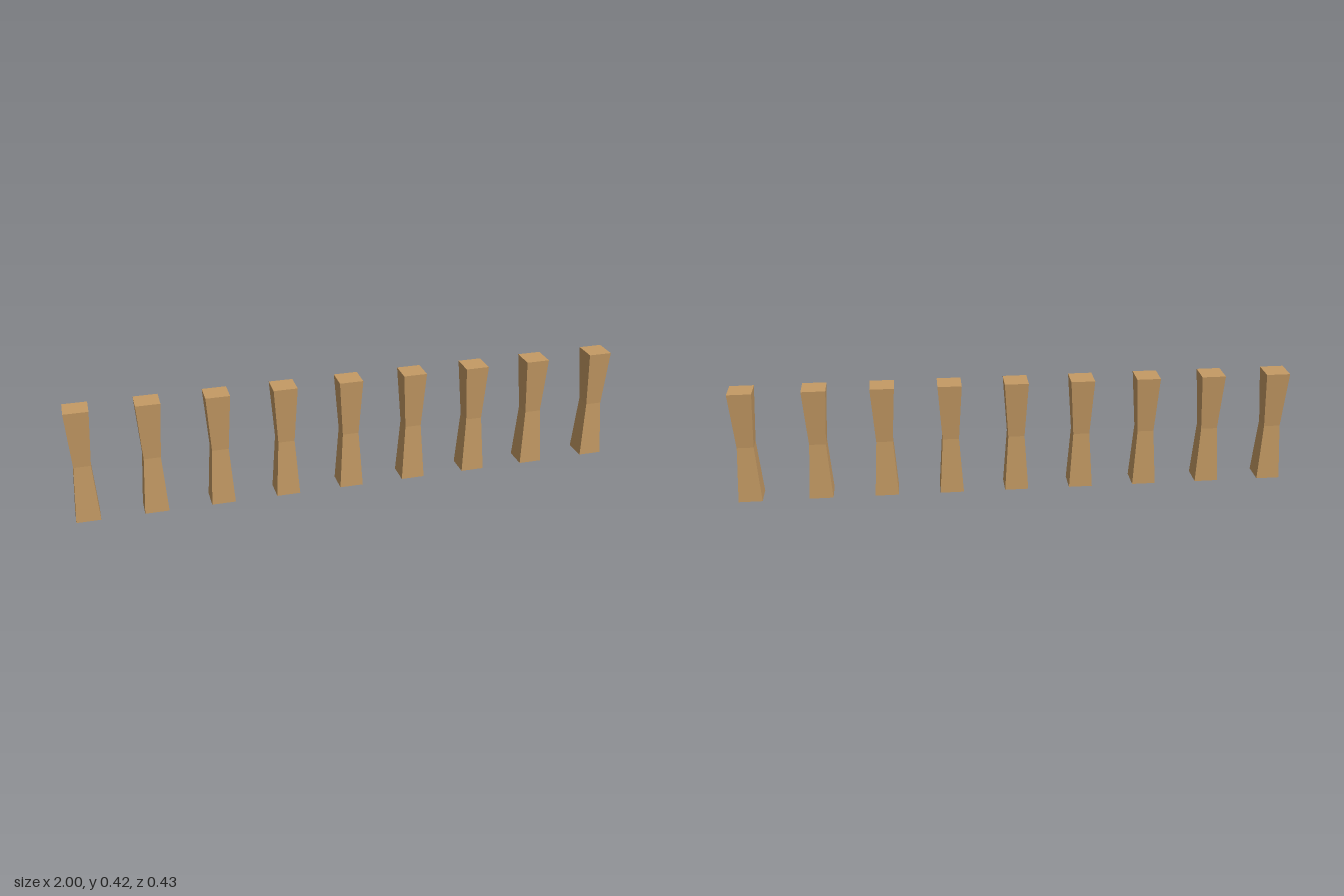
import * as THREE from 'three';

const POSTS = 9;
const HEIGHT = 0.42;
const SIDE = 0.086;
const WAIST = 0.69;
const TURN = 0.17;

// Square post that narrows to a waist at half height
function waistedPostGeometry() {
  const geometry = new THREE.BoxGeometry(SIDE, HEIGHT, SIDE, 1, 2, 1);
  const p = geometry.attributes.position;
  for (let i = 0; i < p.count; i++) {
    if (Math.abs(p.getY(i)) < 0.01) {
      p.setX(i, p.getX(i) * WAIST);
      p.setZ(i, p.getZ(i) * WAIST);
    }
  }
  geometry.translate(0, HEIGHT / 2, 0);
  geometry.computeVertexNormals();
  return geometry;
}

export function createModel() {
  const group = new THREE.Group();
  group.name = 'postRow';

  const wood = new THREE.MeshStandardMaterial({ color: 0xc49a64, flatShading: true });
  wood.name = 'wood';

  // Slanted row of posts, each turned to follow the row
  const geometry = waistedPostGeometry();
  for (let i = 0; i < POSTS; i++) {
    const post = new THREE.Mesh(geometry, wood);
    post.name = `post${i + 1}`;
    // The end post stands slightly further off
    const x = i === POSTS - 1 ? 0.95 : -0.95 + i * 0.2355;
    post.position.set(x, 0, -0.163 + i * 0.04075);
    post.rotation.y = -TURN;
    group.add(post);
  }
  return group;
}
